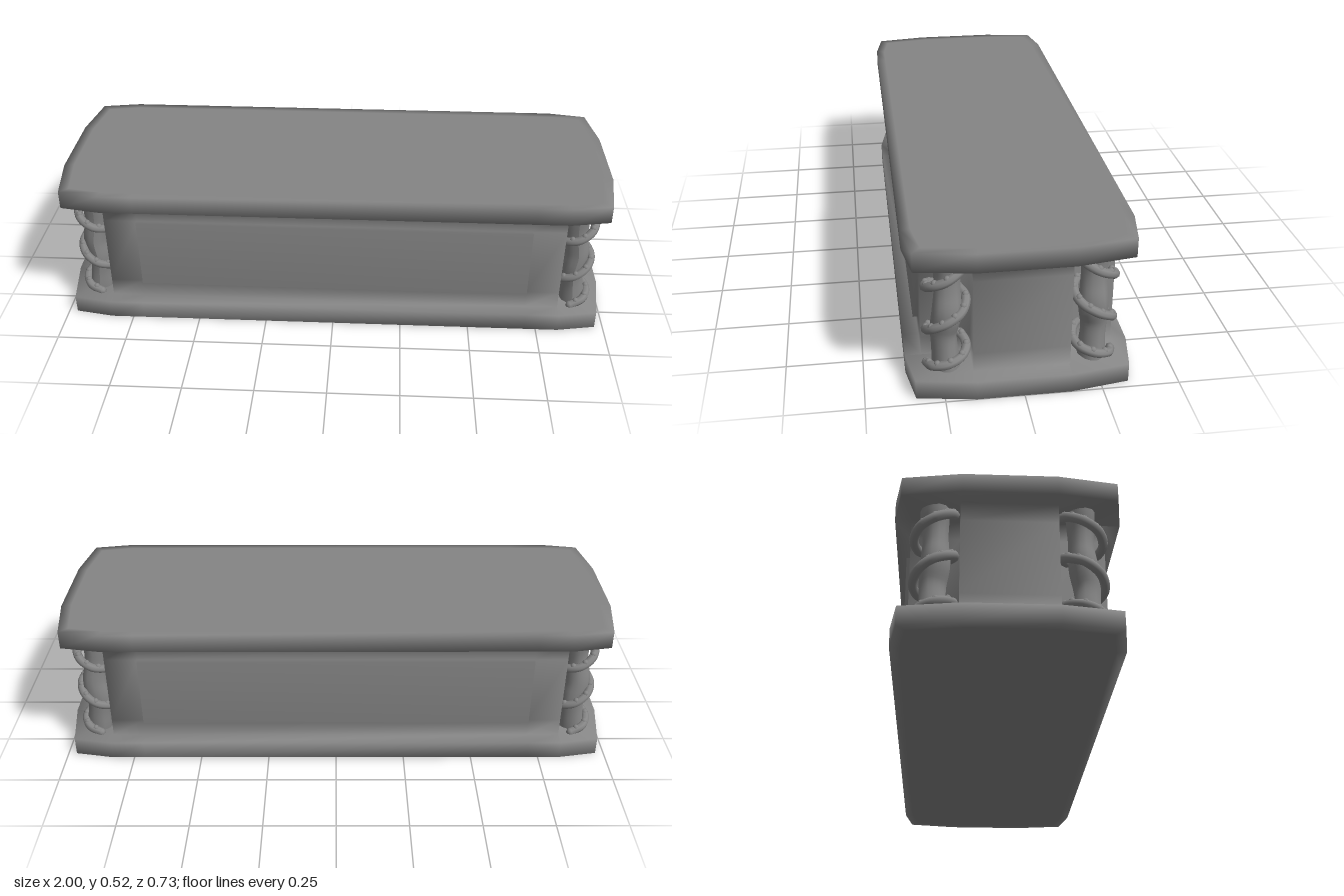
import * as THREE from 'three';

const material = new THREE.MeshStandardMaterial({ color: 0x858585 });

function add(parent, name, geometry, x = 0, y = 0, z = 0) {
  const mesh = new THREE.Mesh(geometry, material);
  mesh.name = name;
  mesh.position.set(x, y, z);
  parent.add(mesh);
  return mesh;
}

// One quadrant of an outline (from +x round to +z), mirrored to a closed ring
function ring(quadrant) {
  const back = [...quadrant].reverse();
  return [
    ...quadrant,
    ...back.map(([x, z]) => [-x, z]),
    ...quadrant.map(([x, z]) => [-x, -z]),
    ...back.map(([x, z]) => [x, -z]),
  ];
}

// Base, walls and lid as one smooth skin through stacked rings
function chestGeometry() {
  const rim = ring([[1, 0.15], [0.97, 0.34], [0.83, 0.365], [0.71, 0.365]]);
  const inset = ring([[0.965, 0.14], [0.94, 0.312], [0.82, 0.333], [0.71, 0.333]]);
  const wall = ring([[0.94, 0.155], [0.83, 0.155], [0.83, 0.312], [0.71, 0.312]]);
  const stack = [
    [inset, 0], [rim, 0], [rim, 0.065],
    [wall, 0.065], [wall, 0.131], [wall, 0.393], [wall, 0.459],
    [rim, 0.459], [rim, 0.524], [inset, 0.524],
  ];
  const n = rim.length, panelRow = 4, panelEdges = [3, 11];
  const vertices = [], index = [];
  for (const [outline, y] of stack) for (const [x, z] of outline) vertices.push(x, y, z);
  const quad = (a, b, c, d) => index.push(a, b, d, b, c, d);

  for (let r = 0; r < stack.length - 1; r++) {
    for (let j = 0; j < n; j++) {
      const a = r * n + j, b = r * n + (j + 1) % n;
      const corners = [a, a + n, b + n, b];
      if (r !== panelRow || !panelEdges.includes(j)) {
        quad(...corners);
        continue;
      }
      // Raised panel on each long side
      const raised = corners.map((c) => {
        vertices.push(vertices[c * 3], vertices[c * 3 + 1], Math.sign(vertices[c * 3 + 2]) * 0.329);
        return vertices.length / 3 - 1;
      });
      for (let k = 0; k < 4; k++) {
        const m = (k + 1) % 4;
        quad(corners[k], corners[m], raised[m], raised[k]);
      }
      quad(...raised);
    }
  }

  // Flat underside and top
  const bottom = vertices.length / 3, top = bottom + 1, last = (stack.length - 1) * n;
  vertices.push(0, 0, 0, 0, 0.524, 0);
  for (let j = 0; j < n; j++) {
    const k = (j + 1) % n;
    index.push(bottom, j, k, top, last + k, last + j);
  }

  const geometry = new THREE.BufferGeometry();
  geometry.setAttribute('position', new THREE.Float32BufferAttribute(vertices, 3));
  geometry.setIndex(index);
  geometry.computeVertexNormals();
  return geometry;
}

// Gnarled trunk with a vine climbing round it, placed at corner (sx, sz)
function cornerColumn(sx, sz) {
  const column = new THREE.Group();
  column.name = 'cornerColumn';
  const cx = 0.877, cz = 0.235;

  // Trunk: swaying tube with an uneven radius
  const sway = [[0.89, 0.055, 0.235], [0.885, 0.12, 0.238], [0.88, 0.19, 0.24], [0.89, 0.26, 0.232],
    [0.882, 0.33, 0.23], [0.878, 0.4, 0.231], [0.885, 0.47, 0.232]];
  const trunkPath = new THREE.CatmullRomCurve3(sway.map(([x, y, z]) => new THREE.Vector3(sx * x, y, sz * z)));
  const rows = 28, sides = 14;
  const trunk = new THREE.TubeGeometry(trunkPath, rows, 0.044, sides);
  const p = trunk.attributes.position, v = new THREE.Vector3();
  for (let i = 0; i < p.count; i++) {
    const t = Math.floor(i / (sides + 1)) / rows;
    const a = (i % (sides + 1)) / sides * Math.PI * 2;
    const centre = trunkPath.getPointAt(t);
    v.fromBufferAttribute(p, i).sub(centre);
    v.multiplyScalar(1 + 0.07 * Math.sin(3 * a + 5 * t) + 0.06 * Math.cos(t * 13)).add(centre);
    p.setXYZ(i, v.x, v.y, v.z);
  }
  trunk.computeVertexNormals();
  add(column, 'trunk', trunk);

  // Vine: heights at each quarter turn, rising faster on the outer side
  const heights = [0.068, 0.098, 0.127, 0.16, 0.195, 0.25, 0.3, 0.325, 0.352, 0.4, 0.455];
  const onVine = (q) => {
    const k = Math.min(Math.floor(q), heights.length - 2);
    const y = THREE.MathUtils.lerp(heights[k], heights[k + 1], q - k);
    const a = Math.PI / 2 * (1 - q);
    return new THREE.Vector3(sx * (cx + 0.064 * Math.cos(a)), y, sz * (cz + 0.064 * Math.sin(a)));
  };
  const points = [];
  for (let q = 0; q <= 10; q += 0.5) points.push(onVine(q));
  const vinePath = new THREE.CatmullRomCurve3(points);
  add(column, 'vine', new THREE.TubeGeometry(vinePath, 120, 0.0155, 8));

  // Knobs along the upper side of the vine
  for (let i = 0; i < 24; i++) {
    const c = vinePath.getPointAt((i + 0.5) / 24);
    add(column, 'vineKnob', new THREE.SphereGeometry(0.0115, 8, 6), c.x, c.y + 0.009, c.z);
  }

  // Rounded vine tips
  for (const t of [0, 1]) {
    const c = vinePath.getPointAt(t);
    add(column, 'vineTip', new THREE.SphereGeometry(0.0155, 8, 6), c.x, c.y, c.z);
  }
  return column;
}

export function createModel() {
  const model = new THREE.Group();
  model.name = 'stoneChest';
  add(model, 'chestBody', chestGeometry());
  for (const sx of [1, -1]) for (const sz of [1, -1]) model.add(cornerColumn(sx, sz));
  return model;
}
